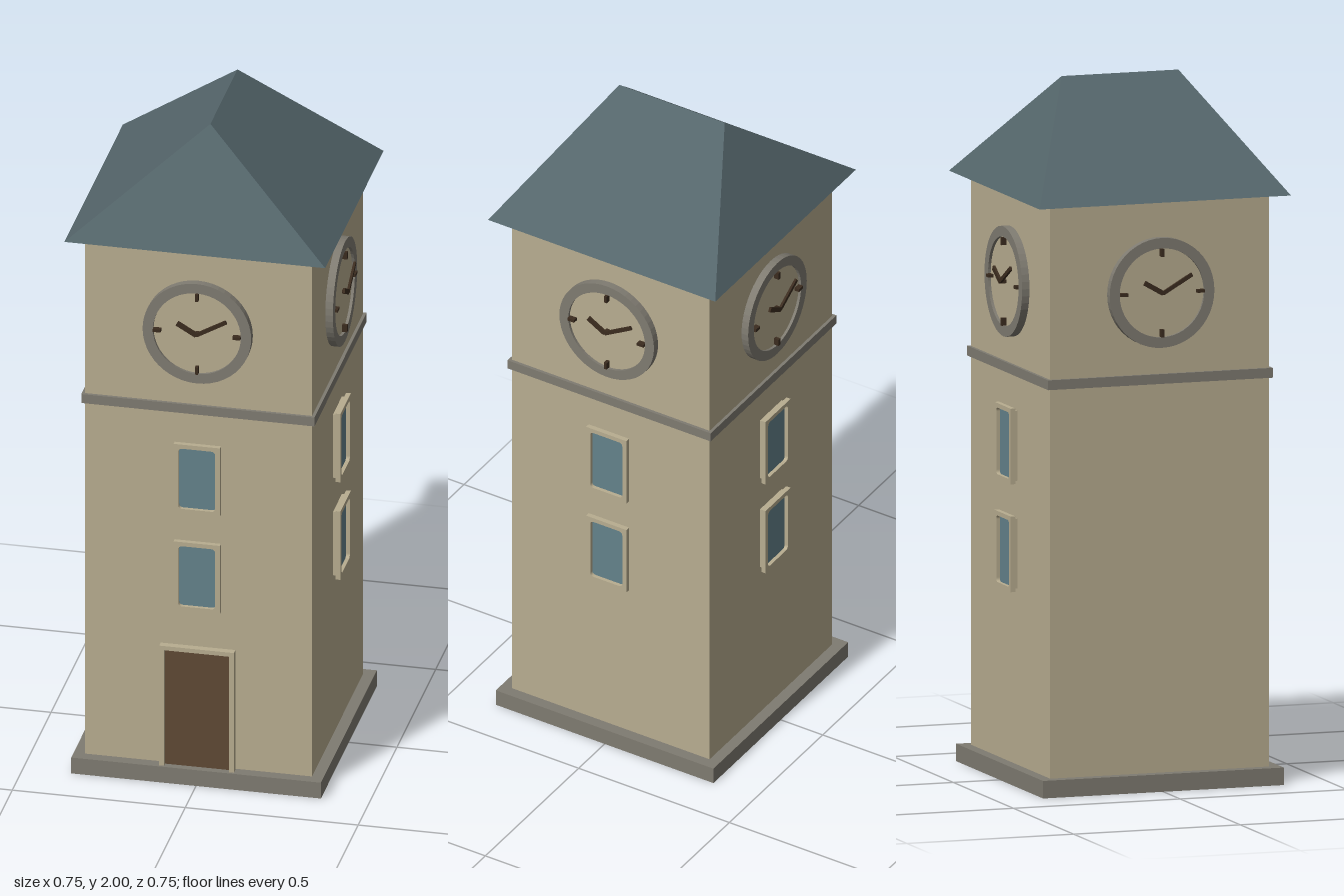
import * as THREE from 'three';

const paint = (name, color) => {
  const m = new THREE.MeshStandardMaterial({ color });
  m.name = name;
  return m;
};

export function createModel() {
  const wall = paint('sandstone', 0xb8ad90);
  const stone = paint('grey stone', 0x7f7b71);
  const slate = paint('blue slate', 0x54656a);
  const glass = paint('window glass', 0x64828b);
  const wood = paint('brown door wood', 0x5f4935);
  const dark = paint('dark clock metal', 0x3b2c1f);

  const W = 0.328; // half width of the tower
  const tower = new THREE.Group();
  tower.name = 'clockTower';

  const add = (parent, name, geometry, material, x = 0, y = 0, z = 0) => {
    const mesh = new THREE.Mesh(geometry, material);
    mesh.name = name;
    mesh.position.set(x, y, z);
    parent.add(mesh);
    return mesh;
  };
  const box = (parent, name, material, w, h, d, x, y, z) =>
    add(parent, name, new THREE.BoxGeometry(w, h, d), material, x, y, z);
  const group = (parent, name, y = 0) => {
    const g = new THREE.Group();
    g.name = name;
    g.position.y = y;
    parent.add(g);
    return g;
  };
  const rectangle = (path, w, h, r = 0) => {
    const x = w / 2, y = h / 2;
    path.moveTo(-x + r, -y).lineTo(x - r, -y);
    if (r) path.quadraticCurveTo(x, -y, x, -y + r);
    path.lineTo(x, y - r);
    if (r) path.quadraticCurveTo(x, y, x - r, y);
    path.lineTo(-x + r, y);
    if (r) path.quadraticCurveTo(-x, y, -x, y - r);
    path.lineTo(-x, -y + r);
    if (r) path.quadraticCurveTo(-x, -y, -x + r, -y);
    return path;
  };
  const extrude = (shape, depth) =>
    new THREE.ExtrudeGeometry(shape, { depth, bevelEnabled: false, curveSegments: 24 });

  // Masonry: plinth, shaft and string course
  box(tower, 'plinth', stone, 0.722, 0.05, 0.722, 0, 0.025, 0);
  box(tower, 'shaft', wall, 2 * W, 1.68, 2 * W, 0, 0.845, 0);
  box(tower, 'stringCourse', stone, 0.674, 0.028, 0.674, 0, 1.175, 0);

  // Hipped roof with its ridge running front to back
  const e = 0.377, eaves = 1.685, ridge = 0.175;
  const A = [-e, eaves, e], B = [e, eaves, e], C = [e, eaves, -e], D = [-e, eaves, -e];
  const F = [0, 2, ridge], K = [0, 2, -ridge];
  const roof = new THREE.BufferGeometry();
  roof.setAttribute('position', new THREE.Float32BufferAttribute([
    A, B, F, C, D, K,
    B, C, K, B, K, F,
    D, A, F, D, F, K,
    A, D, C, A, C, B,
  ].flat(), 3));
  roof.computeVertexNormals();
  add(tower, 'roof', roof, slate);

  // Clock with ring, face, quarter marks and two hands
  const ringShape = new THREE.Shape().absarc(0, 0, 0.157, 0, Math.PI * 2);
  ringShape.holes.push(new THREE.Path().absarc(0, 0, 0.127, 0, Math.PI * 2, true));
  const ringGeometry = extrude(ringShape, 0.022);
  const faceGeometry = new THREE.CylinderGeometry(0.13, 0.13, 0.014, 48).rotateX(Math.PI / 2);
  const addClock = (side) => {
    const clock = group(side, 'clock', 1.423);
    add(clock, 'clockRing', ringGeometry, stone, 0, 0, W);
    add(clock, 'clockFace', faceGeometry, wall, 0, 0, W + 0.007);
    for (let i = 0; i < 4; i++) {
      const a = i * Math.PI / 2;
      const mark = box(clock, 'quarterMark', dark, 0.009, 0.022, 0.016,
        Math.sin(a) * 0.115, Math.cos(a) * 0.115, 0.349);
      mark.rotation.z = -a;
    }
    for (const [name, length, width, a] of [
      ['minuteHand', 0.1, 0.011, Math.PI / 3], ['hourHand', 0.064, 0.014, -Math.PI / 3]]) {
      const hand = box(clock, name, dark, width, length, 0.007,
        Math.sin(a) * length / 2, Math.cos(a) * length / 2, 0.359);
      hand.rotation.z = -a;
    }
    box(clock, 'handPivot', dark, 0.01, 0.01, 0.02, 0, 0, 0.35);
  };

  // Window: backing, glass pane and raised frame
  const windowShape = rectangle(new THREE.Shape(), 0.134, 0.216);
  windowShape.holes.push(rectangle(new THREE.Path(), 0.106, 0.19, 0.012));
  const windowFrame = extrude(windowShape, 0.014);
  const addWindow = (side, y) => {
    const win = group(side, 'window', y);
    box(win, 'windowBacking', wall, 0.116, 0.2, 0.011, 0, 0, W + 0.0055);
    box(win, 'windowGlass', glass, 0.114, 0.198, 0.004, 0, 0, 0.339);
    add(win, 'windowFrame', windowFrame, wall, 0, 0, 0.338);
  };

  // Clocks on all four sides, windows on the front, left and back
  ['front', 'left', 'back', 'right'].forEach((name, i) => {
    const side = group(tower, name + 'Side');
    side.rotation.y = i * Math.PI / 2;
    addClock(side);
    if (name !== 'right') [0.653, 0.961].forEach((y) => addWindow(side, y));
  });

  // Front door with a three-sided surround
  const door = group(tower, 'entrance', 0.05);
  box(door, 'door', wood, 0.194, 0.368, 0.012, 0, 0.184, W + 0.006);
  const surround = new THREE.Shape();
  [[-0.108, 0], [-0.094, 0], [-0.094, 0.365], [0.094, 0.365],
    [0.094, 0], [0.108, 0], [0.108, 0.378], [-0.108, 0.378]]
    .forEach(([x, y], i) => (i ? surround.lineTo(x, y) : surround.moveTo(x, y)));
  add(door, 'doorSurround', extrude(surround, 0.02), wall, 0, 0, 0.334);

  return tower;
}
